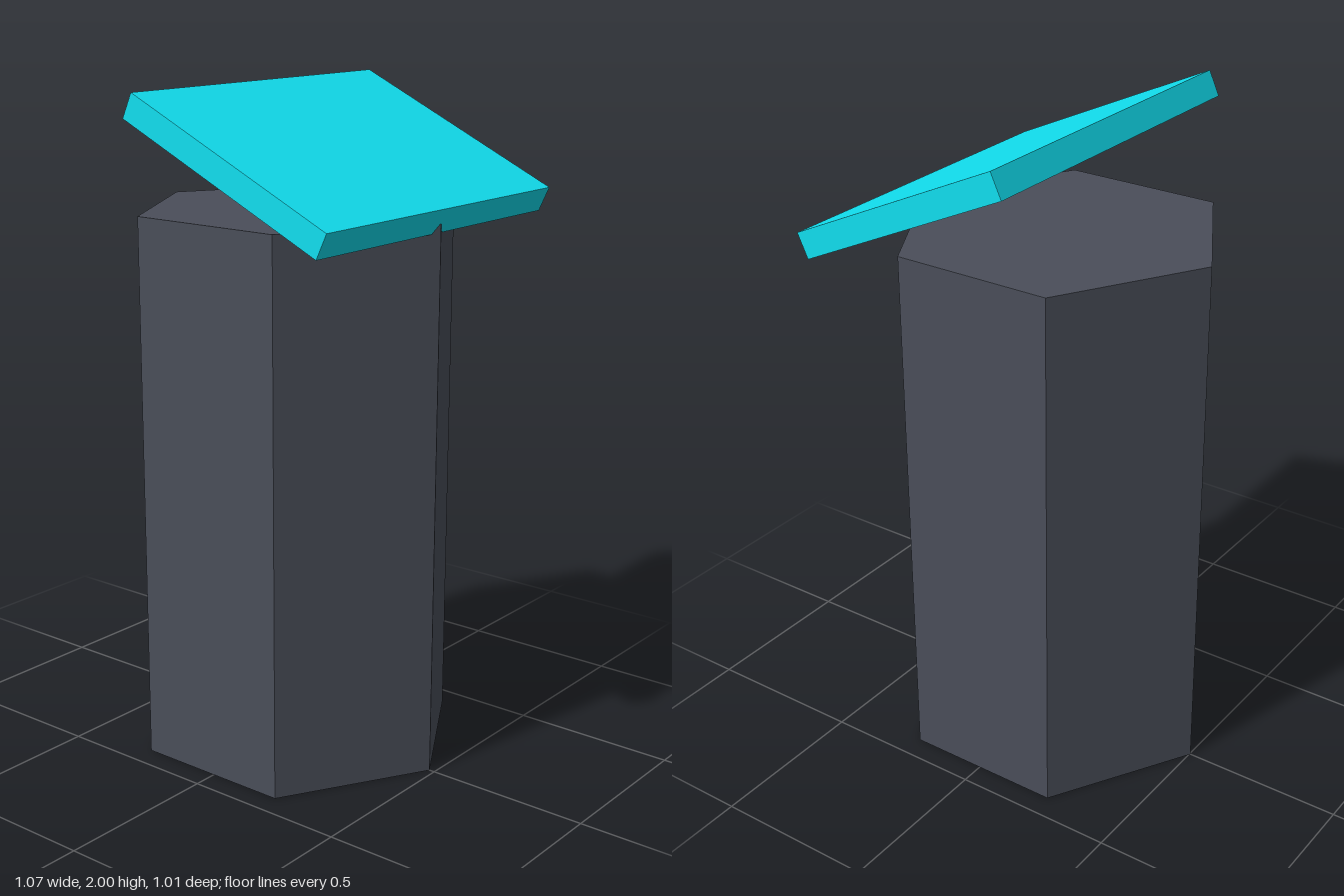
import * as THREE from 'three';

export function createModel() {
  const group = new THREE.Group();

  const add = (name, geometry, color, y, z) => {
    const mesh = new THREE.Mesh(geometry, new THREE.MeshStandardMaterial({ color, flatShading: true }));
    mesh.name = name;
    mesh.position.set(0, y, z);
    group.add(mesh);
    return mesh;
  };

  // Hexagonal pedestal with one corner facing the front
  const height = 1.645;
  add('pedestal', new THREE.CylinderGeometry(0.493, 0.493, height, 6), 0x4a4e59, height / 2, -0.01);

  // Thin panel resting on the front corner, sloping down toward the front
  const panel = add('tiltedPanel', new THREE.BoxGeometry(1.066, 0.079, 0.737), 0x11dff0, 1.809, 0.1515);
  panel.rotation.x = THREE.MathUtils.degToRad(25);

  return group;
}
